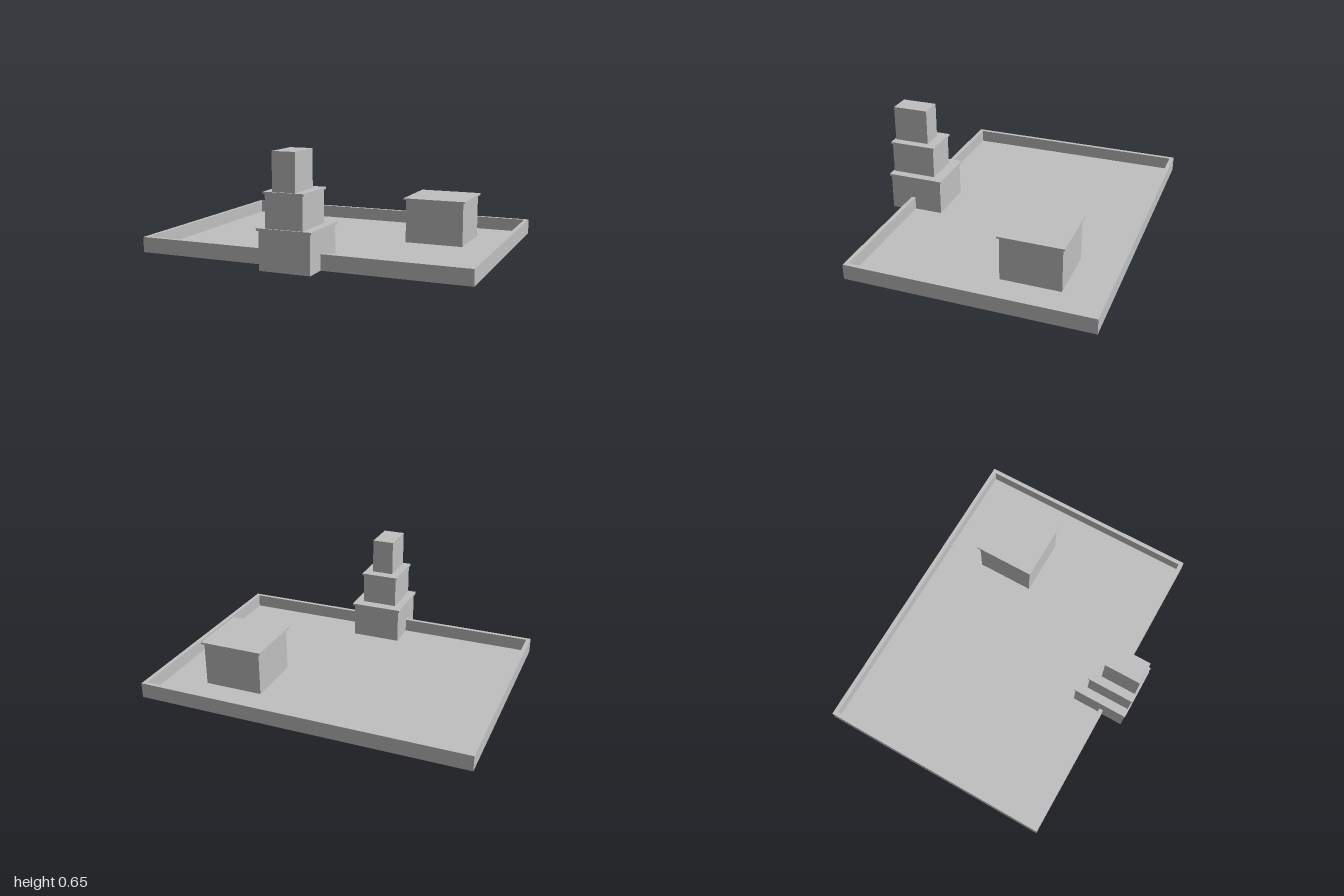
import * as THREE from 'three';

export function createModel() {
  const model = new THREE.Group();
  model.name = 'walledCourtyard';
  const stone = new THREE.MeshStandardMaterial({ color: 0xc0c0c0 });
  stone.name = 'grey stone';

  // Box given by its limits on each axis
  const block = (parent, name, [x0, x1], [y0, y1], [z0, z1]) => {
    const mesh = new THREE.Mesh(new THREE.BoxGeometry(x1 - x0, y1 - y0, z1 - z0), stone);
    mesh.position.set((x0 + x1) / 2, (y0 + y1) / 2, (z0 + z1) / 2);
    mesh.name = name;
    parent.add(mesh);
  };
  const group = (name) => {
    const g = new THREE.Group();
    g.name = name;
    model.add(g);
    return g;
  };

  // Perimeter wall: one rectangular ring, extruded upward
  const back = -0.797, front = 0.656, wall = 0.025, wallTop = 0.092, floorTop = 0.012;
  const rectangle = (P, x, z0, z1) => new P([
    new THREE.Vector2(-x, -z1), new THREE.Vector2(x, -z1),
    new THREE.Vector2(x, -z0), new THREE.Vector2(-x, -z0),
  ]);
  const ring = rectangle(THREE.Shape, 1, back, front);
  ring.holes.push(rectangle(THREE.Path, 1 - wall, back + wall, front - wall));
  const ringGeometry = new THREE.ExtrudeGeometry(ring, { depth: wallTop, bevelEnabled: false });
  ringGeometry.rotateX(-Math.PI / 2);
  const perimeter = new THREE.Mesh(ringGeometry, stone);
  perimeter.name = 'perimeterWall';
  model.add(perimeter);

  // Courtyard floor inside the wall
  block(model, 'courtyardFloor', [-1 + wall, 1 - wall], [0, floorTop], [back + wall, front - wall]);

  // Stepped gate tower: each tier stands on the ledge below it
  const tower = group('gateTower');
  [
    ['lowerTier', 0.153, 0, 0.222, 0.456, 0.789],
    ['lowerLedge', 0.164, 0.222, 0.236, 0.446, 0.797],
    ['middleTier', 0.111, 0.236, 0.424, 0.513, 0.789],
    ['middleLedge', 0.12, 0.424, 0.437, 0.505, 0.797],
    ['upperTier', 0.068, 0.437, 0.655, 0.568, 0.787],
  ].forEach(([name, x, y0, y1, z0, z1]) => block(tower, name, [-x, x], [y0, y1], [z0, z1]));

  // Small house with an overhanging flat roof
  const house = group('house');
  block(house, 'houseWalls', [0.362, 0.723], [floorTop, 0.278], [-0.524, -0.161]);
  block(house, 'houseRoof', [0.348, 0.737], [0.278, 0.289], [-0.537, -0.149]);

  return model;
}
